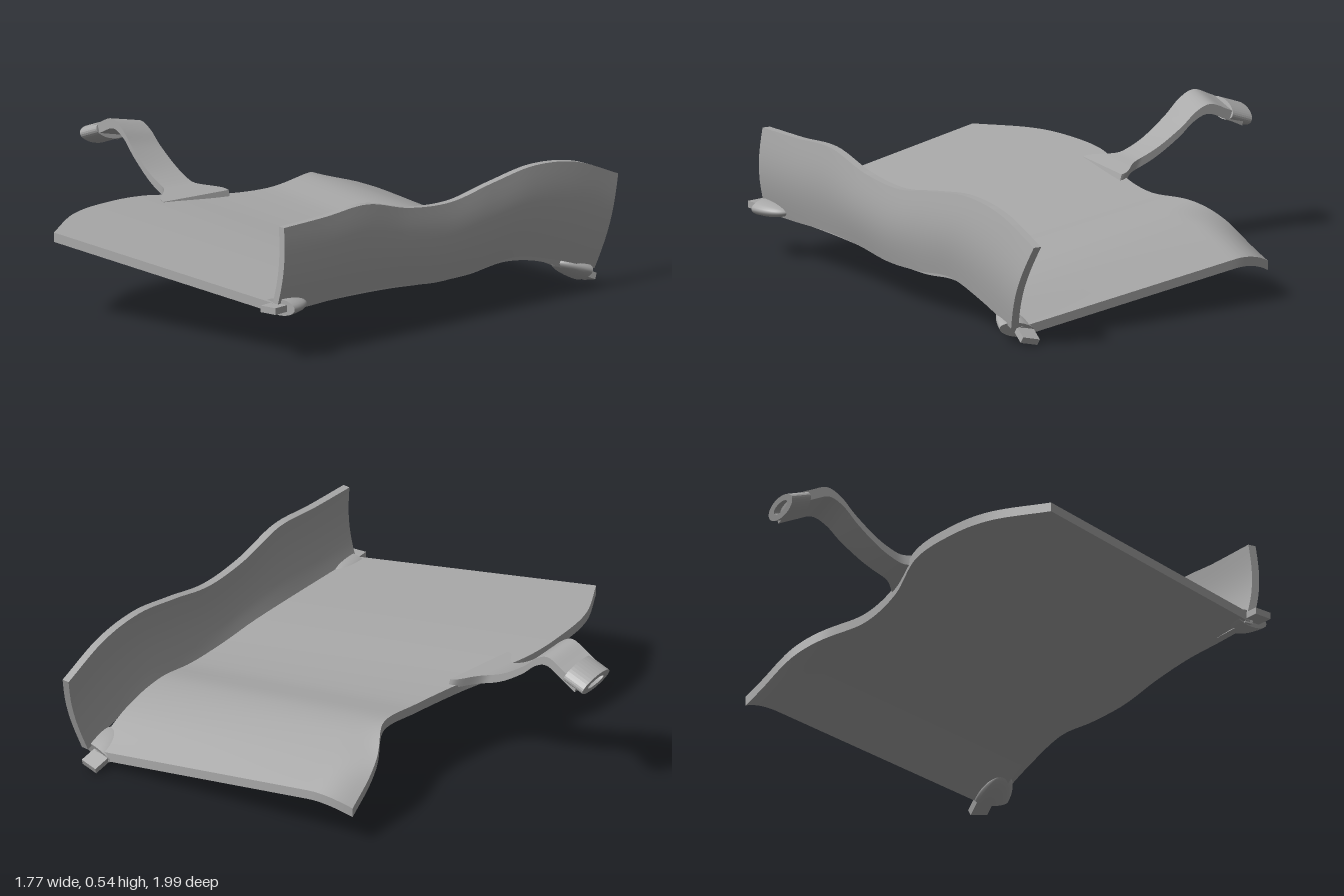
import * as THREE from 'three';
import { mergeGeometries } from 'three/addons/utils/BufferGeometryUtils.js';

const grey = new THREE.MeshStandardMaterial({ color: 0xa8a8a8 });
grey.name = 'plain grey';

const { lerp, smoothstep } = THREE.MathUtils;
const V = (x, y, z) => new THREE.Vector3(x, y, z);

// Smooth curve through evenly spaced points, and through evenly spaced heights
const curve = pts => {
  const c = new THREE.CatmullRomCurve3(pts.map(p => V(...p)), false, 'catmullrom', 0.5);
  return t => c.getPoint(t);
};
const heights = ys => {
  const c = curve(ys.map((y, i) => [i, y, 0]));
  return t => c(t).y;
};

// Grid surface; its front faces dP/du x dP/dv
function grid(P, nu, nv) {
  const pos = [], index = [];
  for (let j = 0; j <= nv; j++)
    for (let i = 0; i <= nu; i++) pos.push(...P(i / nu, j / nv).toArray());
  for (let j = 0; j < nv; j++)
    for (let i = 0; i < nu; i++) {
      const a = j * (nu + 1) + i, b = a + 1, c = a + nu + 1, d = c + 1;
      index.push(a, b, d, a, d, c);
    }
  const g = new THREE.BufferGeometry();
  g.setAttribute('position', new THREE.Float32BufferAttribute(pos, 3));
  g.setIndex(index);
  g.computeVertexNormals();
  return g;
}

// Closed solid between an outer surface A and an inner surface B
function slab(A, B, nu, nv) {
  const rim = (e, n) => grid((t, w) => B(...e(t)).lerp(A(...e(t)), w), n, 1);
  return mergeGeometries([
    grid(A, nu, nv),
    grid((u, v) => B(1 - u, v), nu, nv),
    rim(t => [t, 0], nu),
    rim(t => [1 - t, 1], nu),
    rim(t => [1, t], nv),
    rim(t => [0, 1 - t], nv),
  ]);
}

function part(name, geometry) {
  const m = new THREE.Mesh(geometry, grey);
  m.name = name;
  return m;
}

// Wavy floor panel, ruled from its curved left edge to its straight right edge
function floorPanel() {
  const left = curve([
    [-0.17, 0, 0.99], [-0.31, 0, 0.79], [-0.37, 0, 0.6], [-0.39, 0, 0.38], [-0.33, 0, 0.12],
    [-0.315, 0, -0.12], [-0.35, 0, -0.33], [-0.45, 0, -0.48], [-0.51, 0, -0.67],
  ]);
  const wave = heights([0.305, 0.3, 0.295, 0.285, 0.268, 0.262, 0.275, 0.235, 0.14]);
  const top = (u, v) => {
    const p = left(v).lerp(V(lerp(0.8, 0.61, v), 0, lerp(0.74, -0.85, v)), u);
    const corner = Math.max(0, 1 - u / 0.15) ** 2;
    p.y = wave(v) - p.x / 8 - 0.06 * corner * smoothstep(v, 0.75, 0.95);
    p.z -= 0.04 * (1 - corner) * (1 - u) * smoothstep(v, 0.85, 1);
    return p;
  };
  return part('floorPanel', slab(top, (u, v) => top(u, v).add(V(0, -0.035, 0)), 48, 64));
}

// Upright side wall with a scalloped top
function sideWall() {
  const high = heights([0.49, 0.495, 0.505, 0.455, 0.44, 0.475, 0.503, 0.48, 0.4]);
  const low = heights([0.165, 0.17, 0.178, 0.17, 0.15, 0.158, 0.178, 0.135, 0.07]);
  const outer = (s, w) => V(
    lerp(lerp(0.81, 0.65, s), lerp(0.835, 0.625, s), w) + 0.022 * Math.sin(Math.PI * w),
    lerp(low(s), high(s), w),
    lerp(lerp(0.74, -0.87, s), lerp(0.72, -1, s), w));
  return part('sideWall', slab(outer, (s, w) => outer(s, w).add(V(-0.03, 0, 0)), 64, 10));
}

// Bent arm, flaring where it joins the floor
function arm() {
  const path = curve([
    [-0.85, 0.475, 0], [-0.78, 0.508, 0], [-0.71, 0.535, 0], [-0.65, 0.51, 0],
    [-0.59, 0.455, 0], [-0.5, 0.39, 0], [-0.42, 0.352, 0], [-0.36, 0.338, 0], [-0.3, 0.325, 0],
  ]);
  const top = (u, v) => {
    const p = path(u), flare = 0.085 * smoothstep(p.x, -0.43, -0.31) ** 1.5;
    p.z = 0.225 + (0.066 + flare) * (1 - 2 * v);
    p.y += 0.2 * (p.z - 0.225) * (1 - smoothstep(p.x, -0.72, -0.45));
    return p;
  };
  return part('arm', slab(top, (u, v) => top(u, v).add(V(0.01, -0.036, 0)), 48, 8));
}

// Oval socket at the arm's tip
function armSocket() {
  const shape = new THREE.Shape().absellipse(0, 0, 0.078, 0.034, 0, Math.PI * 2);
  shape.holes.push(new THREE.Path().absellipse(0, 0, 0.045, 0.015, 0, Math.PI * 2));
  const g = new THREE.ExtrudeGeometry(shape, { depth: 0.09, bevelEnabled: false, curveSegments: 16 });
  const m = part('armSocket', g);
  m.rotation.set(0, -Math.PI / 2 + 0.12, 0.2, 'YXZ');
  m.rotation.x = 0.35;
  m.position.set(-0.79, 0.483, 0.225);
  return m;
}

// Rounded corner foot: half an ellipsoid pointing along -z, with a square peg behind
function cornerFoot(name, pegX) {
  const g = new THREE.Group();
  g.name = name;
  const dome = part('footDome', new THREE.SphereGeometry(1, 24, 12, 0, Math.PI * 2, 0, Math.PI / 2));
  dome.rotation.x = -Math.PI / 2;
  dome.scale.set(0.072, 0.13, 0.031);
  const cap = part('footCap', new THREE.CircleGeometry(1, 24));
  cap.scale.set(0.072, 0.031, 1);
  const peg = part('footPeg', new THREE.BoxGeometry(0.07, 0.025, 0.08));
  peg.position.set(pegX, 0, 0.025);
  g.add(dome, cap, peg);
  return g;
}

export function createModel() {
  const model = new THREE.Group();
  model.name = 'curvedTray';

  const frontFoot = cornerFoot('frontFoot', 0);
  frontFoot.position.set(0.815, 0.192, 0.725);
  frontFoot.rotation.y = 0.2;

  const backFoot = cornerFoot('backFoot', 0.03);
  backFoot.position.set(0.61, 0.055, -0.84);
  backFoot.rotation.set(-0.4, Math.PI - 0.1, -0.2, 'XYZ');

  model.add(floorPanel(), sideWall(), arm(), armSocket(), frontFoot, backFoot);
  return model;
}
